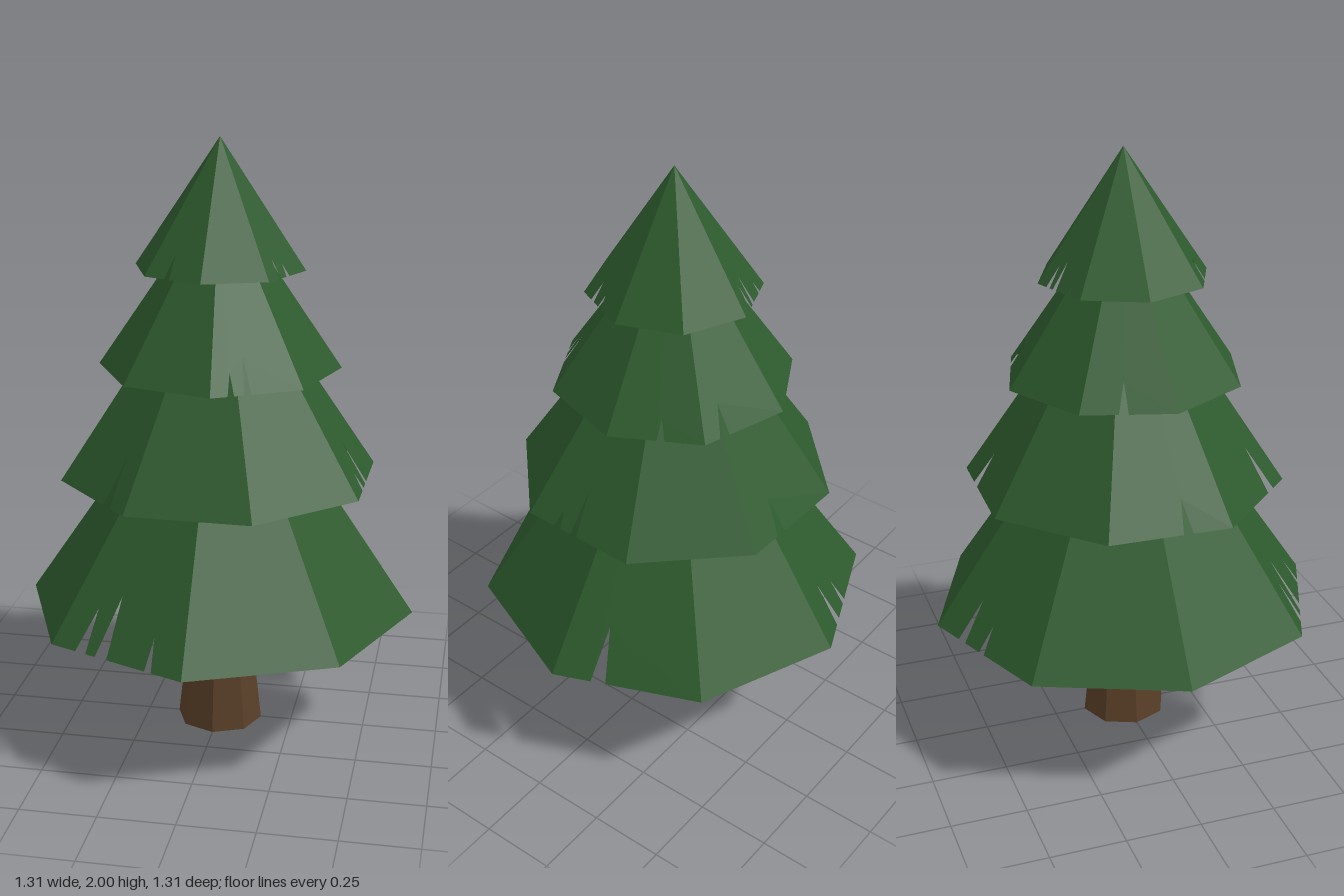
import * as THREE from 'three';
import { mergeGeometries } from 'three/addons/utils/BufferGeometryUtils.js';

const SIDES = 8;
const needles = new THREE.MeshStandardMaterial({ color: 0x2d5a2d, flatShading: true, side: THREE.DoubleSide });
const bark = new THREE.MeshStandardMaterial({ color: 0x5a4028, flatShading: true });

// Each tier: rim height, apex height, rim radius, turn in degrees,
// and notches by face: [place along the rim, width, depth] as fractions of the face
const TIERS = [
  { name: 'bottomBranches', y: 0.435, top: 1.4, r: 0.655, turn: 0, notches: {
    0: [[0.31, 0.1, 0.165]],
    2: [[0.27, 0.07, 0.135], [0.48, 0.05, 0.085]],
    5: [[0.23, 0.08, 0.13], [0.39, 0.09, 0.18], [0.75, 0.05, 0.095]],
  } },
  { name: 'lowerMiddleBranches', y: 0.895, top: 1.69, r: 0.53, turn: 21, notches: {
    1: [[0.34, 0.1, 0.13]],
    3: [[0.64, 0.08, 0.12]],
    4: [[0.75, 0.1, 0.18]],
    7: [[0.29, 0.07, 0.065], [0.46, 0.06, 0.165]],
  } },
  { name: 'upperMiddleBranches', y: 1.26, top: 1.845, r: 0.397, turn: 6, notches: {
    0: [[0.55, 0.08, 0.1]],
    1: [[0.25, 0.12, 0.15]],
    3: [[0.45, 0.1, 0.15]],
    6: [[0.22, 0.07, 0.11], [0.4, 0.08, 0.18]],
  } },
  { name: 'topBranches', y: 1.585, top: 2, r: 0.28, turn: -2, notches: {
    2: [[0.25, 0.08, 0.16], [0.4, 0.08, 0.2], [0.73, 0.06, 0.08]],
    5: [[0.4, 0.09, 0.17]],
    7: [[0.28, 0.08, 0.14], [0.5, 0.08, 0.09]],
  } },
];

// One triangular face with V notches cut up from its lower edge
function notchedFace(a, b, apex, notches) {
  const shape = new THREE.Shape();
  shape.moveTo(0, 0);
  for (const [u, width, depth] of notches) {
    shape.lineTo(u - width / 2, 0);
    shape.lineTo(u + (0.5 - u) * depth, depth);
    shape.lineTo(u + width / 2, 0);
  }
  shape.lineTo(1, 0);
  shape.lineTo(0.5, 1);
  shape.closePath();
  // Carry the flat triangle onto corners a, b and apex
  const along = b.clone().sub(a);
  const up = apex.clone().sub(a).addScaledVector(along, -0.5);
  const normal = along.clone().cross(up).normalize();
  const place = new THREE.Matrix4().makeBasis(along, up, normal).setPosition(a);
  return new THREE.ShapeGeometry(shape).applyMatrix4(place);
}

// Hollow eight-sided cone
function makeTier({ name, y, top, r, turn, notches }) {
  const corner = (i) => {
    const angle = THREE.MathUtils.degToRad(turn + (i * 360) / SIDES);
    return new THREE.Vector3(r * Math.cos(angle), y, -r * Math.sin(angle));
  };
  const apex = new THREE.Vector3(0, top, 0);
  const faces = [];
  for (let i = 0; i < SIDES; i++) {
    faces.push(notchedFace(corner(i), corner(i + 1), apex, notches[i] || []));
  }
  const mesh = new THREE.Mesh(mergeGeometries(faces), needles);
  mesh.name = name;
  return mesh;
}

export function createModel() {
  const tree = new THREE.Group();
  tree.name = 'pineTree';

  // Tapered trunk, its top hidden inside the lowest tier
  const height = 0.475;
  const trunk = new THREE.Mesh(new THREE.CylinderGeometry(0.092, 0.145, height, SIDES), bark);
  trunk.name = 'trunk';
  trunk.position.y = height / 2;
  tree.add(trunk);

  for (const tier of TIERS) tree.add(makeTier(tier));
  return tree;
}
